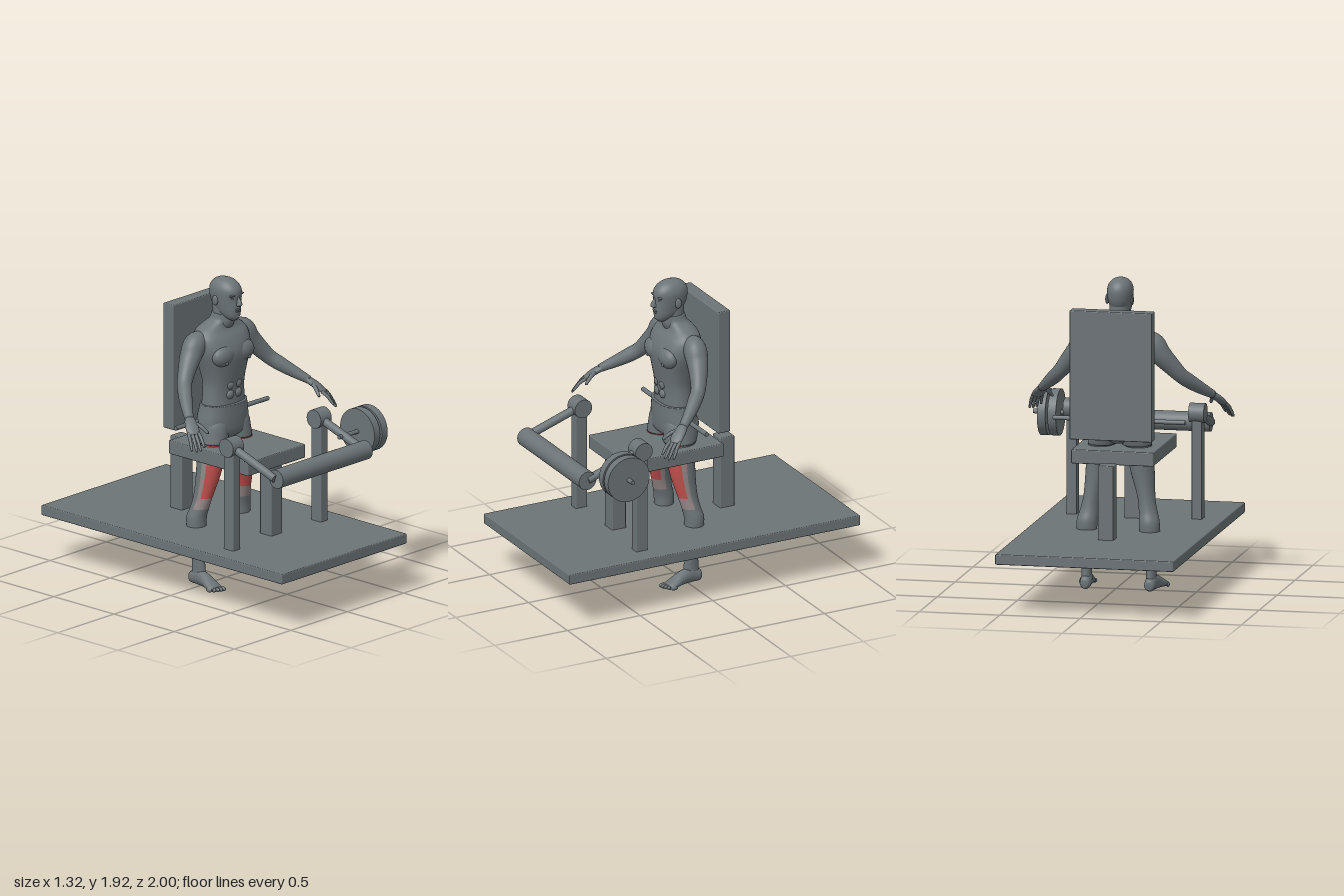
import * as THREE from 'three';
import { RoundedBoxGeometry } from 'three/addons/geometries/RoundedBoxGeometry.js';

const CX = -0.024; // the machine and figure share this centre line

const mat = (name, color) => {
  const m = new THREE.MeshStandardMaterial({ color });
  m.name = name;
  return m;
};

// Catmull-Rom resampling of rows of numbers
function smooth(rows, n) {
  const out = [], last = rows.length - 1, at = i => rows[Math.max(0, Math.min(last, i))];
  for (let i = 0; i < last; i++) for (let k = 0; k < n; k++) {
    const t = k / n, [p, a, b, q] = [at(i - 1), at(i), at(i + 1), at(i + 2)];
    out.push(a.map((v, c) => v + 0.5 * t * (b[c] - p[c] + t * (2 * p[c] - 5 * v + 4 * b[c] - q[c]
      + t * (3 * (v - b[c]) + q[c] - p[c])))));
  }
  out.push(rows[last]);
  return out;
}

// Closed surface over rings of points; pick(angle, y) chooses a material index
function skin(rings, pick = () => 0) {
  const n = rings[0].length, pos = [], buckets = [[], [], []];
  rings.forEach(r => r.forEach(p => pos.push(p.x, p.y, p.z)));
  for (let i = 0; i < rings.length - 1; i++) for (let j = 0; j < n; j++) {
    const k = (j + 1) % n, a = i * n + j, b = i * n + k, c = b + n, d = a + n;
    const y = (rings[i][j].y + rings[i + 1][j].y) / 2;
    buckets[pick((j + 0.5) / n * Math.PI * 2, y)].push(a, b, c, a, c, d);
  }
  [0, rings.length - 1].forEach((i, end) => {
    const c = new THREE.Vector3();
    rings[i].forEach(p => c.addScaledVector(p, 1 / n));
    const id = pos.length / 3;
    pos.push(c.x, c.y, c.z);
    for (let j = 0; j < n; j++) {
      const a = i * n + j, b = i * n + (j + 1) % n;
      buckets[0].push(id, end ? a : b, end ? b : a);
    }
  });
  const g = new THREE.BufferGeometry();
  g.setAttribute('position', new THREE.Float32BufferAttribute(pos, 3));
  g.setIndex(buckets.flat());
  let start = 0;
  buckets.forEach((b, i) => { if (b.length) g.addGroup(start, b.length, i); start += b.length; });
  g.computeVertexNormals();
  return g;
}

// Upright loft, rows from bottom to top: [y, centreX, halfWidth, zFront, zBack]
function loft(rows, { seg = 36, n = 4, power = 2, pick } = {}) {
  const bend = v => Math.sign(v) * Math.abs(v) ** (2 / power);
  return skin(smooth(rows, n).map(([y, cx, w, f, b]) => Array.from({ length: seg }, (_, j) => {
    const t = j / seg * Math.PI * 2;
    return new THREE.Vector3(cx + w * bend(Math.sin(t)), y, (f + b) / 2 + (f - b) / 2 * bend(Math.cos(t)));
  })), pick);
}

// Limb along a path, rows: [x, y, z, halfWidth, halfHeight]
function limb(rows, seg = 20, n = 4) {
  const r = smooth(rows, n), P = r.map(p => new THREE.Vector3(p[0], p[1], p[2]));
  return skin(r.map(([, , , w, h], i) => {
    const T = P[Math.min(i + 1, r.length - 1)].clone().sub(P[Math.max(i - 1, 0)]).normalize();
    const R = new THREE.Vector3(0, 1, 0).cross(T).normalize(), F = R.clone().cross(T);
    return Array.from({ length: seg }, (_, j) => {
      const t = j / seg * Math.PI * 2;
      return P[i].clone().addScaledVector(R, w * Math.sin(t)).addScaledVector(F, h * Math.cos(t));
    });
  }));
}

export function createModel() {
  const grey = mat('grey', 0x6c7477), red = mat('muscle red', 0xc0504d), pale = mat('pale muscle', 0x938685);
  const model = new THREE.Group(), machine = new THREE.Group(), man = new THREE.Group();
  machine.name = 'legMachine';
  man.name = 'figure';
  man.position.x = CX;
  model.add(machine, man);
  const add = (parent, name, geo, m = grey) => {
    const mesh = new THREE.Mesh(geo, m);
    mesh.name = name;
    parent.add(mesh);
    return mesh;
  };

  // ---- machine ----
  const box = (name, x0, x1, y0, y1, z0, z1) =>
    add(machine, name, new RoundedBoxGeometry(x1 - x0, y1 - y0, z1 - z0, 2, 0.006))
      .position.set((x0 + x1) / 2, (y0 + y1) / 2, (z0 + z1) / 2);
  const rod = (name, a, b, r, seg = 32) => {
    const A = new THREE.Vector3(...a), d = new THREE.Vector3(...b).sub(A);
    const m = add(machine, name, new THREE.CylinderGeometry(r, r, d.length(), seg));
    m.position.copy(A).addScaledVector(d, 0.5);
    m.quaternion.setFromUnitVectors(new THREE.Vector3(0, 1, 0), d.normalize());
  };
  box('base', -0.578, 0.529, 0.312, 0.376, -1, 1);
  box('backrest', -0.28, 0.231, 0.963, 1.758, -0.266, -0.182);
  box('seat', -0.28, 0.231, 0.806, 0.892, -0.22, 0.438);
  box('seatPost', -0.072, 0.025, 0.37, 0.81, 0.342, 0.437);
  box('rearPost', -0.072, 0.025, 0.37, 0.834, -0.404, -0.306);
  for (const s of [-1, 1]) {
    const x = off => CX + s * off;
    box('sidePost', x(0.389) - 0.032, x(0.389) + 0.032, 0.37, 1.0, 0.39, 0.47);
    rod('pivot', [x(0.341), 1.027, 0.426], [x(0.437), 1.027, 0.426], 0.059);
    rod('leverArm', [x(0.39), 1.027, 0.426], [x(0.39), 0.902, 0.79], 0.026);
    rod('handle', [x(0.215), 1.047, -0.02], [x(0.41), 1.047, -0.02], 0.014, 20);
  }
  rod('shinRoller', [-0.414, 0.901, 0.797], [0.381, 0.901, 0.797], 0.059, 40);
  rod('weightPin', [0.322, 0.956, 0.631], [0.654, 0.956, 0.631], 0.014, 20);
  for (const x of [0.484, 0.55]) rod('weightPlate', [x, 0.956, 0.631], [x + 0.051, 0.956, 0.631], 0.143, 48);

  // ---- figure ----
  const blob = (name, x, y, z, sx, sy, sz) => {
    const m = add(man, name, new THREE.SphereGeometry(1, 20, 14));
    m.position.set(x, y, z);
    m.scale.set(sx, sy, sz);
    return m;
  };
  add(man, 'torso', loft([
    [1.12, 0, 0.156, 0.09, -0.105], [1.2, 0, 0.147, 0.088, -0.1], [1.27, 0, 0.144, 0.095, -0.105],
    [1.35, 0, 0.16, 0.108, -0.125], [1.44, 0, 0.187, 0.12, -0.142], [1.5, 0, 0.2, 0.112, -0.15],
    [1.56, 0, 0.2, 0.085, -0.15], [1.6, 0, 0.175, 0.055, -0.138], [1.63, 0, 0.125, 0.045, -0.118],
    [1.66, 0, 0.076, 0.048, -0.09], [1.7, 0, 0.062, 0.055, -0.077]], { power: 2.3 }));
  add(man, 'shorts', loft([
    [0.91, 0, 0.1, 0.05, -0.06], [0.95, 0, 0.178, 0.096, -0.112], [1.03, 0, 0.182, 0.105, -0.13],
    [1.1, 0, 0.169, 0.105, -0.12], [1.137, 0, 0.163, 0.105, -0.114]], { power: 2.3 }));
  add(man, 'neck', loft([[1.58, 0, 0.075, 0.03, -0.11], [1.65, 0, 0.062, 0.068, -0.082],
    [1.72, 0, 0.061, 0.06, -0.075], [1.77, 0, 0.06, 0.055, -0.075]]));
  add(man, 'head', loft([
    [1.668, 0, 0.024, 0.1, 0.045], [1.69, 0, 0.045, 0.116, 0], [1.72, 0, 0.059, 0.121, -0.045],
    [1.76, 0, 0.068, 0.122, -0.078], [1.8, 0, 0.075, 0.12, -0.094], [1.85, 0, 0.078, 0.123, -0.098],
    [1.885, 0, 0.068, 0.105, -0.085], [1.912, 0, 0.045, 0.07, -0.055], [1.925, 0, 0.012, 0.025, -0.012]],
  { power: 2.15 }));
  add(man, 'nose', loft([[1.762, 0, 0.012, 0.132, 0.1], [1.77, 0, 0.018, 0.146, 0.1],
    [1.785, 0, 0.014, 0.146, 0.1], [1.81, 0, 0.009, 0.132, 0.1], [1.83, 0, 0.008, 0.122, 0.1]], { seg: 16 }));
  blob('upperLip', 0, 1.741, 0.118, 0.025, 0.006, 0.01);
  blob('lowerLip', 0, 1.73, 0.116, 0.022, 0.007, 0.01);
  blob('chin', 0, 1.695, 0.1, 0.025, 0.018, 0.02);

  // red front of the thigh, with a pale border at the sides and knee
  const thighPaint = (t, y) => {
    const c = Math.cos(t);
    if (y < 0.49 || y > 0.9 || c < 0.05) return 0;
    return y > 0.56 && c > 0.42 ? 1 : 2;
  };

  for (const s of [-1, 1]) {
    const side = (rows, i) => rows.map(r => r.map((v, k) => k === i ? v * s : v));
    // chest, belly and face details
    blob('chestMuscle', s * 0.085, 1.455, 0.075, 0.088, 0.068, 0.052);
    blob('nipple', s * 0.1, 1.418, 0.118, 0.013, 0.013, 0.007);
    for (const y of [1.2, 1.26, 1.32]) blob('bellyMuscle', s * 0.034, y, 0.075, 0.032, 0.032, 0.027);
    blob('ear', s * 0.078, 1.79, -0.002, 0.009, 0.032, 0.02).rotation.y = -s * 0.3;
    blob('brow', s * 0.033, 1.832, 0.106, 0.03, 0.007, 0.012);
    blob('eye', s * 0.032, 1.814, 0.1, 0.015, 0.007, 0.014);
    // legs
    add(man, 'leg', loft(side([
      [0.06, 0.2, 0.035, 0.03, -0.075], [0.1, 0.2, 0.031, 0.026, -0.072], [0.2, 0.2, 0.034, 0.018, -0.07],
      [0.28, 0.196, 0.045, 0.014, -0.085], [0.36, 0.195, 0.061, 0.012, -0.104], [0.43, 0.193, 0.063, 0.015, -0.108],
      [0.49, 0.183, 0.057, 0.028, -0.09], [0.55, 0.172, 0.053, 0.045, -0.08], [0.62, 0.16, 0.058, 0.065, -0.075],
      [0.7, 0.145, 0.069, 0.085, -0.075], [0.8, 0.13, 0.078, 0.1, -0.08], [0.89, 0.117, 0.08, 0.1, -0.09],
      [0.95, 0.112, 0.075, 0.085, -0.085]], 1), { seg: 48, n: 6, pick: thighPaint }), [grey, red, pale]);
    add(man, 'shortsLeg', loft(side([[0.9, 0.107, 0.09, 0.104, -0.1], [0.95, 0.1, 0.09, 0.102, -0.115],
      [1.02, 0.09, 0.09, 0.095, -0.125], [1.07, 0.085, 0.07, 0.07, -0.1]], 1)));
    // feet
    add(man, 'foot', limb(side([
      [0.2, 0.04, -0.09, 0.016, 0.022], [0.2, 0.042, -0.075, 0.033, 0.037], [0.202, 0.055, -0.02, 0.036, 0.05],
      [0.212, 0.047, 0.05, 0.04, 0.042], [0.225, 0.031, 0.11, 0.048, 0.027], [0.23, 0.022, 0.145, 0.046, 0.018],
      [0.232, 0.02, 0.156, 0.036, 0.012]], 0)));
    for (let k = 0; k < 5; k++)
      blob('toe', s * (0.193 + k * 0.0195), 0.017, 0.168 - k * k * 0.0025, k ? 0.0095 : 0.014, 0.014, 0.024);
    // arms and hands
    add(man, 'arm', limb(side([
      [0.12, 1.545, -0.055, 0.05, 0.05], [0.205, 1.53, -0.045, 0.07, 0.076], [0.26, 1.465, -0.035, 0.066, 0.066],
      [0.32, 1.395, -0.01, 0.054, 0.055], [0.375, 1.33, 0.022, 0.045, 0.046], [0.42, 1.285, 0.07, 0.043, 0.044],
      [0.475, 1.235, 0.135, 0.036, 0.036], [0.53, 1.186, 0.208, 0.027, 0.025]], 0), 28, 5));
    add(man, 'palm', limb(side([
      [0.518, 1.195, 0.195, 0.025, 0.022], [0.54, 1.172, 0.227, 0.036, 0.021], [0.56, 1.147, 0.26, 0.041, 0.018],
      [0.577, 1.122, 0.287, 0.038, 0.014], [0.583, 1.114, 0.296, 0.024, 0.008]], 0)));
    const finger = (name, a, b, r) => {
      const mid = a.map((v, i) => (v + b[i]) / 2 + (i === 1 ? 0.01 : 0));
      add(man, name, limb(side([[...a, r, r], [...mid, r, r], [...b, r * 0.75, r * 0.75],
        b.map((v, i) => v + (v - a[i]) * 0.06).concat(r * 0.2, r * 0.2)], 0), 10, 3));
    };
    const tips = [[0.632, 1.04, 0.325], [0.616, 1.036, 0.35], [0.597, 1.04, 0.364], [0.572, 1.058, 0.37]];
    tips.forEach((tip, k) => {
      const o = 0.03 - k * 0.02;
      finger('finger', [0.574 + o * 0.85, 1.125, 0.282 - o * 0.53], tip, 0.0105);
    });
    finger('thumb', [0.528, 1.17, 0.238], [0.494, 1.118, 0.325], 0.0125);
  }
  return model;
}
